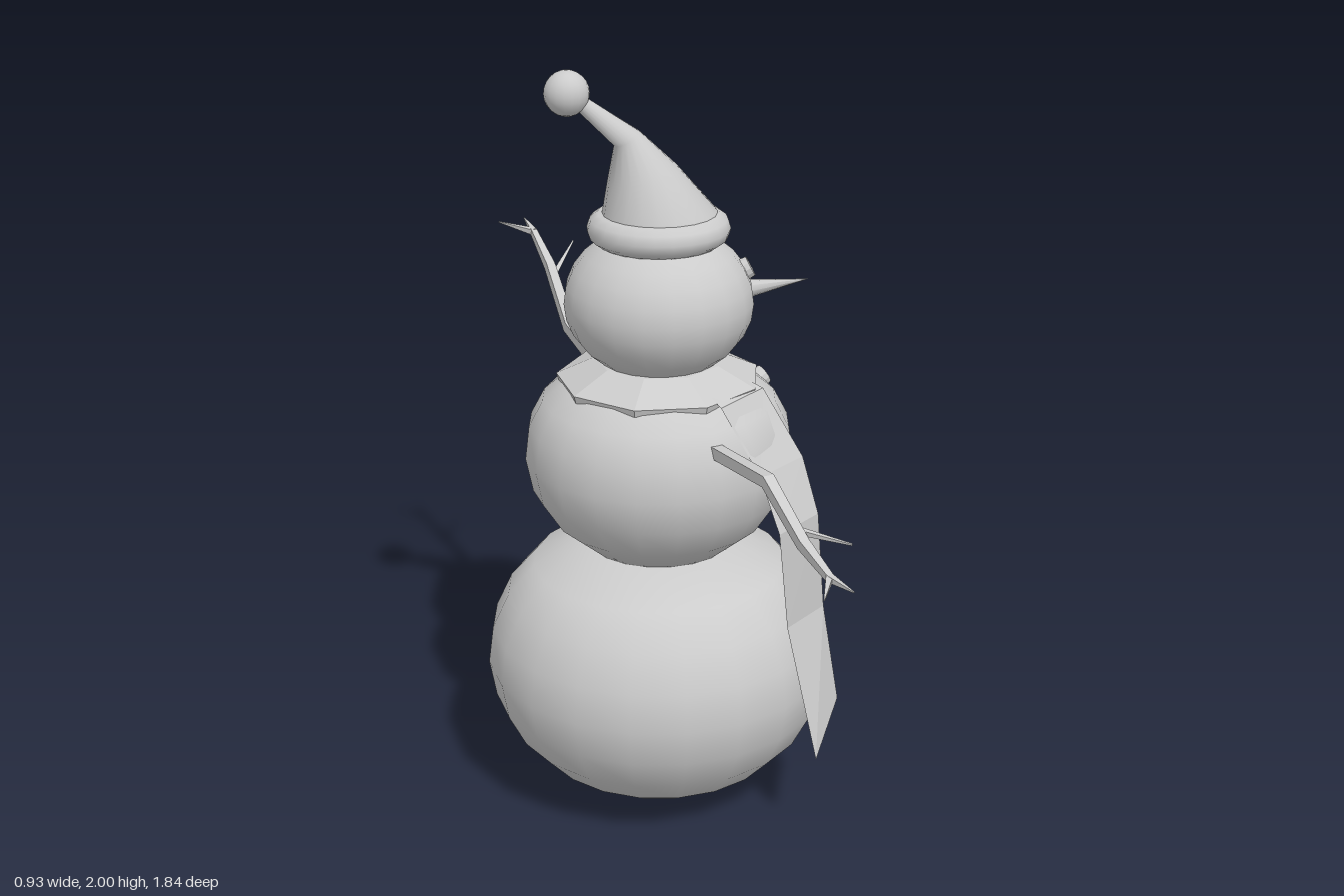
import * as THREE from 'three';

const V = (x, y, z) => new THREE.Vector3(x, y, z);
const AXIS_Z = -0.035; // centre line of the body

function material(flat = false, double = false) {
  return new THREE.MeshStandardMaterial({
    color: 0xcccccc, flatShading: flat, side: double ? THREE.DoubleSide : THREE.FrontSide,
  });
}

function add(parent, name, geometry, mat = material()) {
  const mesh = new THREE.Mesh(geometry, mat);
  mesh.name = name;
  parent.add(mesh);
  return mesh;
}

function lathe(points, segments = 20) {
  return new THREE.LatheGeometry(points.map(([r, y]) => new THREE.Vector2(r, y)), segments);
}

// Tapered tube through rings of [centre, radius, normal?], closed at both ends
function loft(rings, sides) {
  const pos = [], index = [];
  const n = rings.length;
  rings.forEach(([c, r, normal], k) => {
    const dir = normal ? normal.clone().normalize()
      : rings[Math.min(k + 1, n - 1)][0].clone().sub(rings[Math.max(k - 1, 0)][0]).normalize();
    const u = V(1, 0, 0).addScaledVector(dir, -dir.x).normalize();
    const w = dir.clone().cross(u);
    for (let i = 0; i < sides; i++) {
      const a = (i + 0.5) / sides * Math.PI * 2;
      const p = c.clone().addScaledVector(u, r * Math.cos(a)).addScaledVector(w, r * Math.sin(a));
      pos.push(p.x, p.y, p.z);
    }
  });
  for (let k = 0; k < n - 1; k++) {
    for (let i = 0; i < sides; i++) {
      const a = k * sides + i, b = k * sides + (i + 1) % sides;
      index.push(a, b, b + sides, a, b + sides, a + sides);
    }
  }
  for (let i = 1; i < sides - 1; i++) {
    const e = (n - 1) * sides;
    index.push(0, i + 1, i, e, e + i, e + i + 1);
  }
  const g = new THREE.BufferGeometry();
  g.setAttribute('position', new THREE.Float32BufferAttribute(pos, 3));
  g.setIndex(index);
  g.computeVertexNormals();
  return g;
}

// Open sheet between rows of points
function sheet(rows) {
  const cols = rows[0].length, index = [];
  for (let r = 0; r < rows.length - 1; r++) {
    for (let c = 0; c < cols - 1; c++) {
      const a = r * cols + c;
      index.push(a, a + cols, a + 1, a + 1, a + cols, a + cols + 1);
    }
  }
  const g = new THREE.BufferGeometry().setFromPoints(rows.flat());
  g.setIndex(index);
  g.computeVertexNormals();
  return g;
}

// Small disc lying on a surface, facing along the normal
function disc(parent, name, position, normal) {
  const m = add(parent, name, new THREE.CylinderGeometry(0.027, 0.03, 0.024, 12), material(true));
  m.position.copy(position);
  m.quaternion.setFromUnitVectors(V(0, 1, 0), normal.clone().normalize());
}

// Twig arm with a side branch and a forked end
function arm(parent, name, path, branch, tips) {
  const group = new THREE.Group();
  group.name = name;
  const radii = [0.022, 0.021, 0.018, 0.012];
  add(group, 'twig', loft(path.map((p, i) => [p, radii[i]]), 4), material(true));
  add(group, 'sideTwig', loft([[branch[0], 0.011], [branch[1], 0.003]], 4), material(true));
  const end = path[path.length - 1];
  for (const tip of tips) {
    add(group, 'twigTip', loft([[end, 0.012], [tip, 0.002]], 4), material(true));
  }
  parent.add(group);
}

export function createModel() {
  const root = new THREE.Group();
  root.name = 'snowman';

  // Body, head, hat and face are built around the body's own axis
  const body = new THREE.Group();
  body.name = 'body';
  body.position.z = AXIS_Z;
  root.add(body);

  // Snowballs
  const lower = [];
  for (let i = 0; i <= 9; i++) {
    const a = -Math.PI / 2 + i / 9 * (Math.PI / 2 + 0.76);
    lower.push([Math.max(0, 0.467 * Math.cos(a)), 0.4 + 0.395 * Math.sin(a)]);
  }
  lower.push([0.2, 0.732], [0, 0.75]);
  add(body, 'lowerBall', lathe(lower));
  add(body, 'middleBall', lathe([[0, 0.7], [0.19, 0.73], [0.28, 0.805], [0.335, 0.89], [0.353, 0.98],
    [0.342, 1.07], [0.305, 1.14], [0.24, 1.195], [0.15, 1.235], [0, 1.25]]));
  const head = add(body, 'head', new THREE.SphereGeometry(0.245, 20, 14));
  head.scale.y = 0.2 / 0.245;
  head.position.y = 1.4;

  // Face and buttons
  const nose = add(body, 'nose', new THREE.ConeGeometry(0.03, 0.225, 10));
  nose.rotation.z = -Math.PI / 2;
  nose.position.set(0.332, 1.392, 0);
  for (const s of [1, -1]) disc(body, 'eye', V(0.205, 1.48, s * 0.09), V(0.205, 0.12, s * 0.09));
  for (const [x, y, slope] of [[0.305, 1.14, 0.55], [0.35, 1.0, 0.05], [0.318, 0.86, -0.45]]) {
    disc(body, 'button', V(x, y, 0), V(1, slope, 0));
  }

  // Hat
  const brim = add(body, 'hatBrim', new THREE.TorusGeometry(0.142, 0.041, 10, 24));
  brim.rotation.x = Math.PI / 2;
  brim.position.y = 1.592;
  add(body, 'hatCone', loft([
    [V(0, 1.58, 0), 0.16, V(0, 1, 0)],
    [V(0.003, 1.635, 0), 0.145, V(0, 1, 0)],
    [V(-0.045, 1.735, 0), 0.09, V(-0.22, 1, 0)],
    [V(-0.086, 1.828, -0.002), 0.037, V(-0.45, 0.9, -0.1)],
    [V(-0.21, 1.935, -0.052), 0.017, V(-0.75, 0.65, -0.3)],
  ], 20));
  const pompom = add(body, 'pompom', new THREE.SphereGeometry(0.057, 18, 12));
  pompom.position.set(-0.222, 1.943, -0.058);

  // Scarf: collar round the neck and a hanging tail
  add(body, 'scarfCollar', lathe([[0.262, 1.175], [0.268, 1.195], [0.165, 1.242], [0.12, 1.245]], 9),
    material(true, true));
  add(root, 'scarfTail', sheet([
    [V(0.02, 1.225, 0.15), V(0.14, 1.225, 0.08)],
    [V(0.035, 1.19, 0.24), V(0.2, 1.19, 0.16)],
    [V(0.105, 1.02, 0.32), V(0.27, 1.02, 0.25)],
    [V(0.13, 0.88, 0.38), V(0.285, 0.88, 0.31)],
    [V(0.16, 0.61, 0.38), V(0.31, 0.61, 0.31)],
    [V(0.2, 0.26, 0.475), V(0.335, 0.35, 0.355)],
  ]), material(true, true));

  // Arms
  arm(root, 'rightArm',
    [V(0, 1.093, 0.25), V(0, 1.115, 0.54), V(0, 1.02, 0.71), V(0, 0.985, 0.83)],
    [V(0, 1.04, 0.67), V(0.1, 1.02, 0.765)],
    [V(-0.065, 0.98, 0.915), V(0.01, 0.985, 0.92)]);
  arm(root, 'leftArm',
    [V(0, 1.085, -0.33), V(0, 1.155, -0.6), V(0, 1.3, -0.73), V(0, 1.372, -0.84)],
    [V(0, 1.275, -0.705), V(0.1, 1.345, -0.785)],
    [V(-0.075, 1.39, -0.92), V(0.005, 1.392, -0.92)]);

  return root;
}
